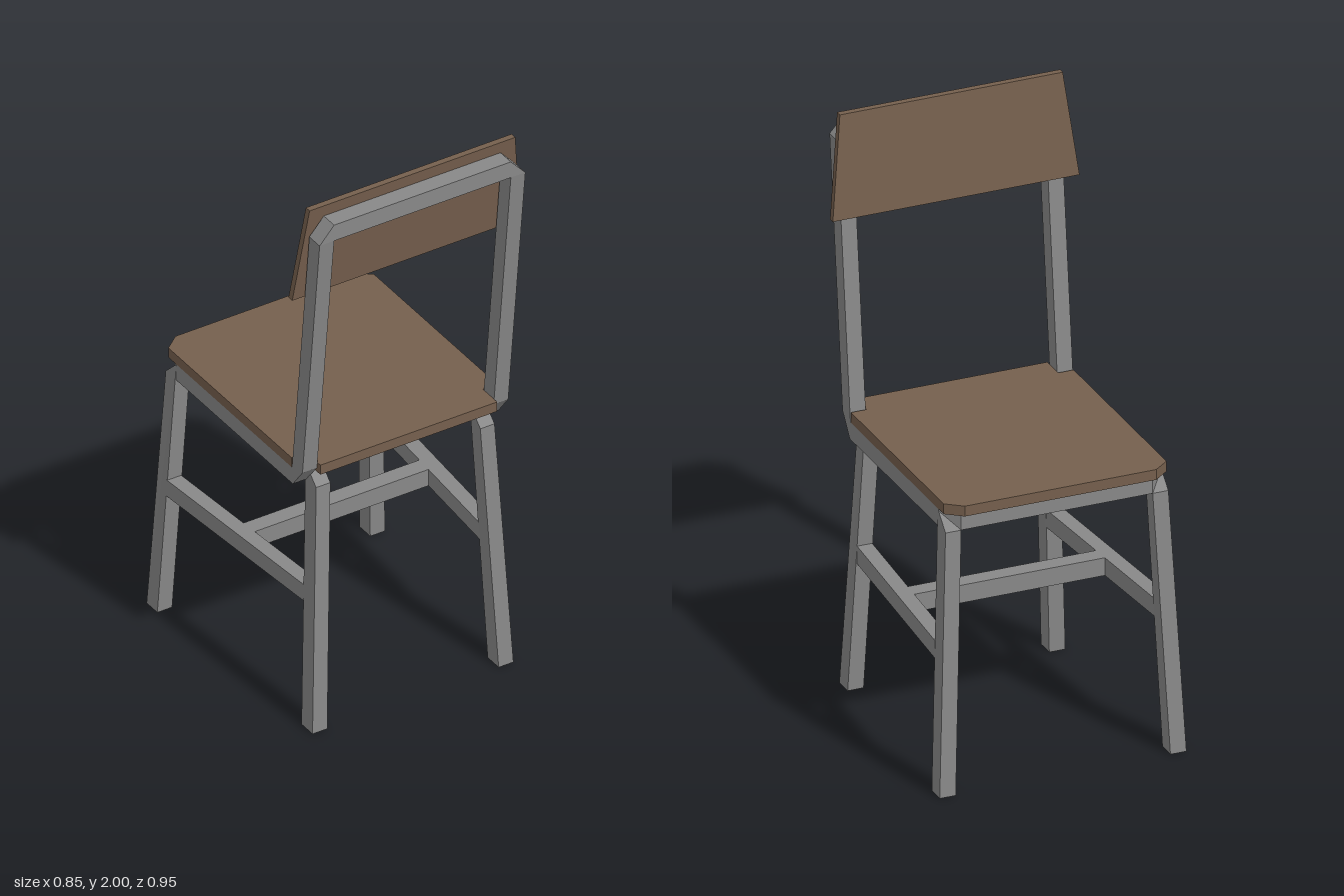
import * as THREE from 'three';

// Skins a run of four-cornered rings; closed runs loop round, open ones get end caps.
function sweep(rings, closed = false) {
  const pos = [];
  const quad = (a, b, c, d) => pos.push(...a, ...b, ...c, ...a, ...c, ...d);
  const n = rings.length;
  for (let r = 0; r < (closed ? n : n - 1); r++) {
    const p = rings[r], q = rings[(r + 1) % n];
    for (let i = 0; i < 4; i++) {
      const j = (i + 1) % 4;
      quad(p[i], p[j], q[j], q[i]);
    }
  }
  if (!closed) {
    const s = rings[0], e = rings[n - 1];
    quad(s[3], s[2], s[1], s[0]);
    quad(e[0], e[1], e[2], e[3]);
  }
  const g = new THREE.BufferGeometry();
  g.setAttribute('position', new THREE.Float32BufferAttribute(pos, 3));
  g.computeVertexNormals();
  return g;
}

// Horizontal ring; yBack and yFront are the heights at the +z and -z edges.
const ringY = (x0, x1, z0, z1, yBack, yFront = yBack) =>
  [[x0, yBack, z1], [x1, yBack, z1], [x1, yFront, z0], [x0, yFront, z0]];
// Upright ring across z.
const ringZ = (x0, x1, y0, y1, z) => [[x1, y0, z], [x1, y1, z], [x0, y1, z], [x0, y0, z]];

export function createModel() {
  const metal = new THREE.MeshStandardMaterial({ color: 0x888888 });
  metal.name = 'grey metal';
  const wood = new THREE.MeshStandardMaterial({ color: 0x755f4d });
  wood.name = 'brown wood';

  const chair = new THREE.Group();
  chair.name = 'chair';
  const add = (name, geometry, material) => {
    const mesh = new THREE.Mesh(geometry, material);
    mesh.name = name;
    chair.add(mesh);
    return mesh;
  };

  // One continuous square tube: top bar, posts, side rails and front rail, with cut corners
  const xo = 0.384, xi = 0.33;
  const half = [
    [[xi, 1.96, 0.415], [xi, 1.96, 0.476], [xi, 1.9, 0.476], [xi, 1.9, 0.415]],
    [[xo, 1.9, 0.415], [xo, 1.9, 0.476], [xi, 1.9, 0.476], [xi, 1.9, 0.415]],
    [[xo, 0.96, 0.313], [xo, 0.975, 0.375], [xi, 0.975, 0.375], [xi, 0.96, 0.313]],
    [[xo, 0.96, 0.313], [xo, 0.9, 0.318], [xi, 0.9, 0.318], [xi, 0.96, 0.313]],
    [[xo, 0.96, -0.375], [xo, 0.9, -0.375], [xi, 0.9, -0.375], [xi, 0.96, -0.375]],
    [[xi, 0.96, -0.43], [xi, 0.9, -0.43], [xi, 0.9, -0.375], [xi, 0.96, -0.375]],
  ];
  const mirrored = half.map(r => r.map(([x, y, z]) => [-x, y, z])).reverse();
  add('frame', sweep([...half, ...mirrored], true), metal);

  for (const s of [1, -1]) {
    const side = s > 0 ? 'left' : 'right';
    const xs = (a, b) => (s > 0 ? [a, b] : [-b, -a]);

    // Splayed legs with slanted tops
    add(side + 'BackrestLeg', sweep([
      ringY(...xs(0.32, 0.375), 0.355, 0.42, 0),
      ringY(...xs(0.28, 0.333), 0.312, 0.375, 0.9, 0.96),
    ]), metal);
    add(side + 'SeatEdgeLeg', sweep([
      ringY(...xs(0.37, 0.425), -0.478, -0.415, 0),
      ringY(...xs(0.33, 0.384), -0.43, -0.368, 0.96, 0.9),
    ]), metal);

    // Side stretcher, running slightly outward between the legs
    add(side + 'Stretcher', sweep([
      ringZ(...xs(0.352, 0.405), 0.45, 0.512, -0.395),
      ringZ(...xs(0.3, 0.352), 0.45, 0.512, 0.34),
    ]), metal);
  }

  // Bar joining the two stretchers
  const bar = add('crossStretcher', new THREE.BoxGeometry(0.66, 0.062, 0.06), metal);
  bar.position.set(0, 0.481, -0.03);

  // Seat board, notched around the posts and cut at the other corners
  const outline = [[0.33, -0.458], [0.384, -0.415], [0.384, 0.31], [0.33, 0.31], [0.33, 0.395]];
  const seatShape = new THREE.Shape([
    ...outline, ...outline.map(([x, z]) => [-x, z]).reverse(),
  ].map(([x, z]) => new THREE.Vector2(x, z)));
  const seat = new THREE.ExtrudeGeometry(seatShape, { depth: 0.036, bevelEnabled: false });
  seat.rotateX(Math.PI / 2);
  add('seat', seat, wood).position.y = 0.996;

  // Leaning backrest board, wider at the bottom
  add('backrest', sweep([
    ringY(-0.425, 0.425, 0.357, 0.379, 1.65),
    ringY(-0.384, 0.384, 0.395, 0.417, 2),
  ]), wood);

  return chair;
}
